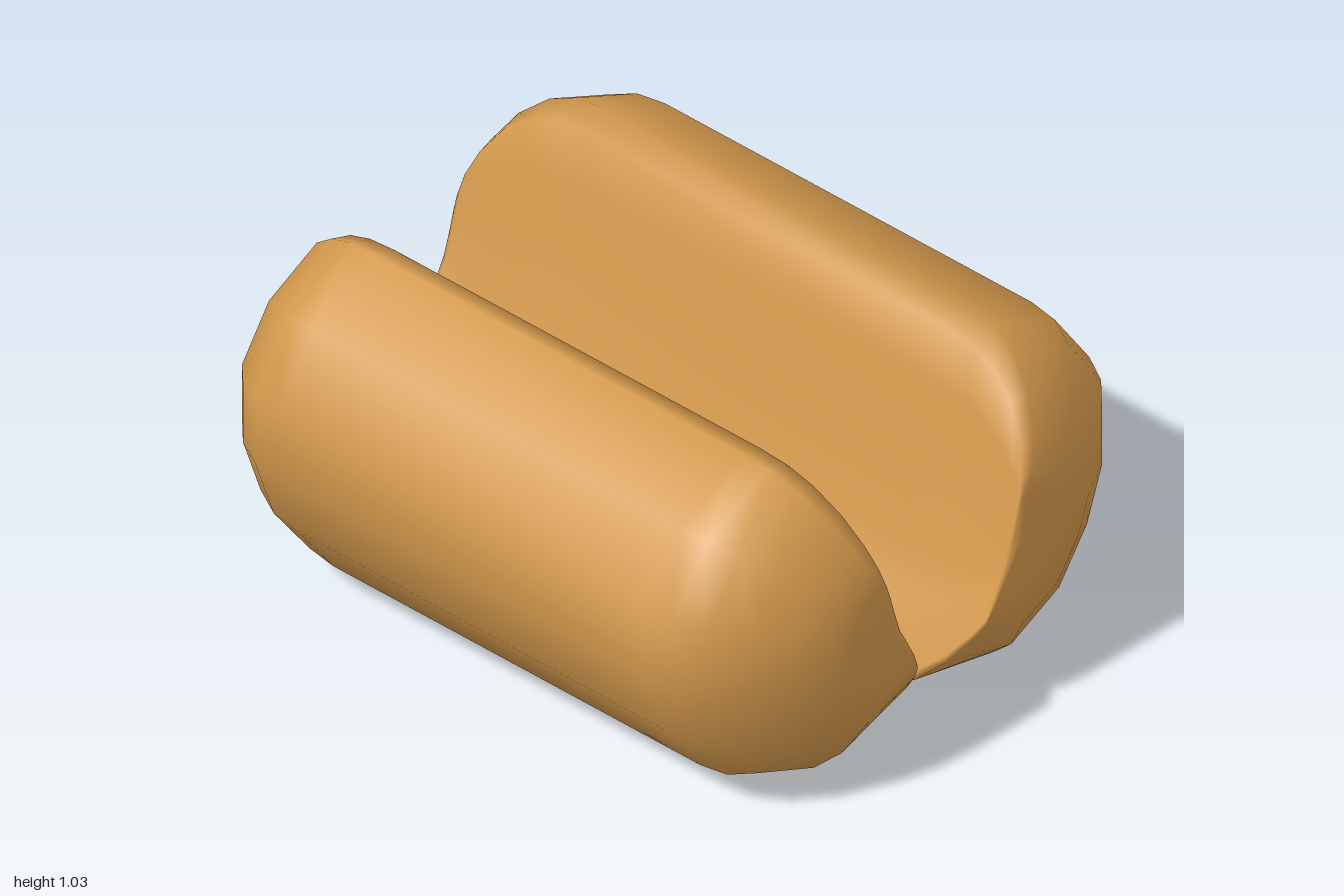
import * as THREE from 'three';

// Cross-section of one half as [z, y]: hinge, outer crust, top lip, cut face
const SECTION = [
  [0, 0.025], [0.36, 0], [0.6, 0.11], [0.74, 0.3], [0.815, 0.51], [0.815, 0.72],
  [0.68, 0.915], [0.44, 1.03], [0.36, 1.0], [0.31, 0.85], [0.265, 0.68],
  [0.185, 0.42], [0.13, 0.32], [0, 0.06],
];
const CENTER = [0.22, 0.54];

// Rounded end as [x, section scale, hinge scale]
const END = [
  [0.65, 1, 1], [0.74, 0.98, 0.9], [0.82, 0.91, 0.81], [0.9, 0.77, 0.66],
  [0.96, 0.58, 0.5], [0.99, 0.42, 0.4], [1, 0.29, 0.29],
];

// Loft the section along x, shrinking it toward both ends
function halfGeometry() {
  const stations = [...END.map(([x, s, h]) => [-x, s, h]).reverse(), ...END];
  const n = SECTION.length;
  const positions = [];
  const index = [];

  stations.forEach(([x, s, h]) => {
    SECTION.forEach(([z, y], j) => {
      const k = j === 0 || j === n - 1 ? h : s;
      positions.push(x, CENTER[1] + (y - CENTER[1]) * k, CENTER[0] + (z - CENTER[0]) * k);
    });
  });

  for (let i = 0; i < stations.length - 1; i++) {
    for (let j = 0; j < n; j++) {
      const a = i * n + j;
      const b = i * n + (j + 1) % n;
      index.push(a, a + n, b, b, a + n, b + n);
    }
  }

  // Flat caps at the two tips
  const last = (stations.length - 1) * n;
  const leftCap = positions.length / 3;
  positions.push(-1, CENTER[1] + 0.01, CENTER[0] + 0.04, 1, CENTER[1] + 0.01, CENTER[0] + 0.04);
  for (let j = 0; j < n; j++) {
    const k = (j + 1) % n;
    index.push(leftCap, j, k, leftCap + 1, last + k, last + j);
  }

  const geometry = new THREE.BufferGeometry();
  geometry.setAttribute('position', new THREE.Float32BufferAttribute(positions, 3));
  geometry.setIndex(index);
  geometry.computeVertexNormals();
  return geometry;
}

export function createModel() {
  const group = new THREE.Group();
  group.name = 'splitBun';

  const crust = new THREE.MeshStandardMaterial({ color: 0xd2984c });
  crust.name = 'golden crust';

  // Two matching halves meeting along the hinge
  const geometry = halfGeometry();
  ['frontHalf', 'backHalf'].forEach((name, i) => {
    const half = new THREE.Mesh(geometry, crust);
    half.name = name;
    half.rotation.y = i * Math.PI;
    group.add(half);
  });

  return group;
}
